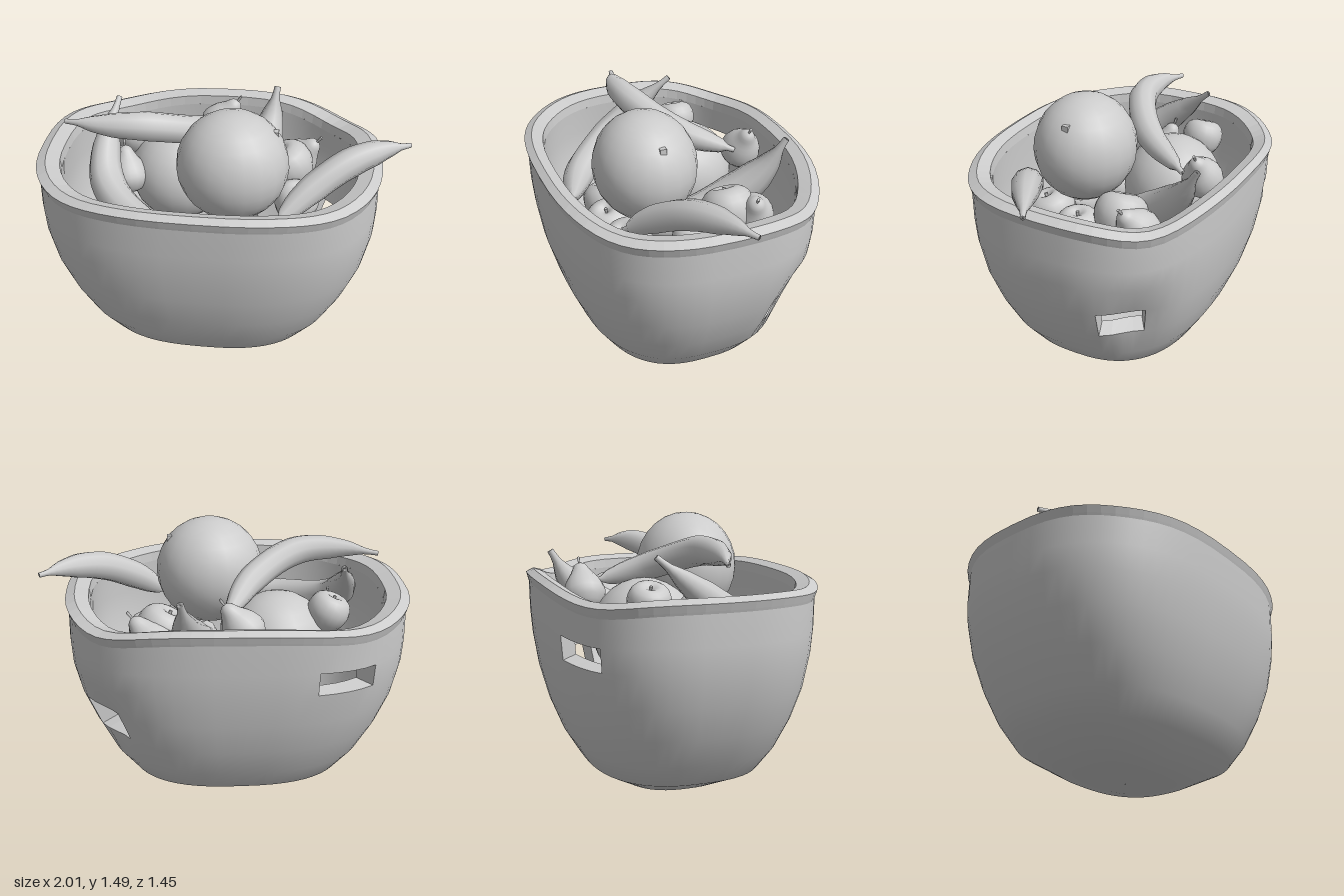
import * as THREE from 'three';

const material = new THREE.MeshStandardMaterial({ color: 0xcccccc });
const thin = new THREE.MeshStandardMaterial({ color: 0xcccccc, side: THREE.DoubleSide });
const N = 60; // columns around the bowl
const v = (p) => new THREE.Vector3(...p);
const bump = (x, centre, width) => Math.exp(-(((x - centre) / width) ** 2));

function add(parent, name, geometry, mat = material) {
  const mesh = new THREE.Mesh(geometry, mat);
  mesh.name = name;
  parent.add(mesh);
  return mesh;
}

// Point on the rounded-rectangle bowl: column j, size factor s, height y
function bowlPoint(j, s, y) {
  const deg = ((j % N) * 360) / N;
  const t = THREE.MathUtils.degToRad(deg);
  const power = (q) => Math.sign(q) * Math.abs(q) ** 0.77;
  const cx = power(Math.cos(t)), cz = -power(Math.sin(t));
  // dent beside the side opening
  const k = s * (1 - 0.085 * bump(deg, 36, 15) * bump(y, 0.53, 0.18));
  // wavy rim, dipping at the corners, most of all at the back
  const dip = 0.06 * bump(deg, 42, 22) + 0.05 * bump(deg, 128, 25)
    + 0.018 * (bump(deg, 225, 20) + bump(deg, 315, 20));
  const wave = (0.016 * cz * cz + 0.004 - dip) * Math.min(1, y / 1.1) ** 4;
  // the ends stand a little steeper than the front and back
  const steep = 1 + 0.02 * bump(y, 0.75, 0.25);
  return [-0.07 + 0.93 * k * cx * steep, y + wave, 0.725 * k * cz];
}

// Closed band of quads through rings of [s, y]; skip(row, column) leaves openings
function band(rings, skip = () => false) {
  const pos = [], idx = [];
  for (const [s, y] of rings) for (let j = 0; j < N; j++) pos.push(...bowlPoint(j, s, y));
  for (let i = 0; i < rings.length - 1; i++) {
    for (let j = 0; j < N; j++) {
      if (skip(i, j)) continue;
      const a = i * N + j, b = i * N + ((j + 1) % N);
      idx.push(a, b, b + N, a, b + N, a + N);
    }
  }
  const g = new THREE.BufferGeometry();
  g.setAttribute('position', new THREE.Float32BufferAttribute(pos, 3));
  g.setIndex(idx);
  g.computeVertexNormals();
  return g;
}

function flat(g) {
  const f = g.toNonIndexed();
  f.computeVertexNormals();
  return f;
}

function buildBowl(root) {
  const bowl = new THREE.Group();
  bowl.name = 'bowl';
  root.add(bowl);
  const outer = [[0.001, 0], [0.25, 0.015], [0.41, 0.04], [0.655, 0.15], [0.765, 0.28],
    [0.86, 0.45], [0.927, 0.63], [0.965, 0.81], [0.98, 0.94], [0.985, 1.1]];
  // the wall thickens slightly towards the rim
  const inner = outer.map(([s, y]) => [s * (0.895 - 0.02 * (y / 1.1) ** 2), y + 0.06 * (1 - y / 1.1)]);
  // openings: wall row and column range
  const holes = [{ row: 5, from: 3, to: 7 }, { row: 7, from: 18, to: 22 }];
  const open = (i, j) => holes.some((h) => i === h.row && j >= h.from && j < h.to);

  add(bowl, 'outerWall', band(outer, open), thin);
  const last = outer.length - 2;
  add(bowl, 'innerWall', band([...inner].reverse(), (i, j) => open(last - i, j)), thin);
  add(bowl, 'rim', flat(band([[0.985, 1.1], [0.99, 1.113], [1.003, 1.15], [0.95, 1.172],
    [0.87, 1.152], [0.862, 1.1]])), thin);

  // sides of each opening, joining outer and inner wall
  for (const h of holes) {
    const loop = [];
    for (let j = h.from; j <= h.to; j++) loop.push([h.row, j]);
    for (let j = h.to; j >= h.from; j--) loop.push([h.row + 1, j]);
    const pos = [], idx = [];
    loop.forEach(([r, j], n) => {
      pos.push(...bowlPoint(j, ...outer[r]), ...bowlPoint(j, ...inner[r]));
      const a = n * 2, b = ((n + 1) % loop.length) * 2;
      idx.push(a, b, b + 1, a, b + 1, a + 1);
    });
    const g = new THREE.BufferGeometry();
    g.setAttribute('position', new THREE.Float32BufferAttribute(pos, 3));
    g.setIndex(idx);
    add(bowl, 'openingSides', flat(g), thin);
  }
}

// Tapered, bent tube; the first path point is the stalk
function banana(points, radius) {
  const curve = new THREE.CatmullRomCurve3(points.map(v));
  const steps = 30, sides = 10;
  const profile = [[0, 0.17], [0.06, 0.2], [0.14, 0.52], [0.26, 0.85], [0.42, 1],
    [0.7, 0.97], [0.84, 0.78], [0.93, 0.5], [0.965, 0.22], [1, 0.18]];
  const width = (u) => {
    const i = Math.max(1, profile.findIndex((p) => p[0] >= u));
    const [a, b] = [profile[i - 1], profile[i]];
    return THREE.MathUtils.mapLinear(u, a[0], b[0], a[1], b[1]);
  };
  const g = new THREE.TubeGeometry(curve, steps, radius, sides, false);
  const p = g.attributes.position, q = new THREE.Vector3();
  for (let i = 0; i <= steps; i++) {
    // the first and last two rings share a place, which closes the ends bluntly
    const at = THREE.MathUtils.clamp((i - 1) / (steps - 2), 0, 1);
    const w = i === 0 || i === steps ? 0 : width(at);
    const from = curve.getPointAt(i / steps), to = curve.getPointAt(at);
    for (let j = 0; j <= sides; j++) {
      const n = i * (sides + 1) + j;
      q.fromBufferAttribute(p, n).sub(from).multiplyScalar(w).add(to);
      p.setXYZ(n, q.x, q.y, q.z);
    }
  }
  return g;
}

// Turned fruit with a stem, its axis leaning along dir
function turnedFruit(root, name, profile, radius, centre, dir, stemBase) {
  const fruit = new THREE.Group();
  fruit.name = name;
  const pts = new THREE.SplineCurve(profile.map((p) => new THREE.Vector2(...p))).getPoints(18);
  pts.forEach((p) => { p.x = Math.max(0, p.x); });
  add(fruit, 'flesh', new THREE.LatheGeometry(pts, 18));
  add(fruit, 'stem', new THREE.CylinderGeometry(0.07, 0.05, 0.4, 6)).position.y = stemBase + 0.15;
  fruit.scale.setScalar(radius);
  fruit.position.set(...centre);
  fruit.quaternion.setFromUnitVectors(new THREE.Vector3(0, 1, 0), v(dir).normalize());
  root.add(fruit);
}

export function createModel() {
  const root = new THREE.Group();
  root.name = 'fruitBowl';
  buildBowl(root);

  // oranges
  const orange = add(root, 'topOrange', new THREE.SphereGeometry(0.3, 20, 14));
  orange.position.set(0.07, 1.19, 0.18);
  orange.scale.z = 0.94;
  const nub = add(root, 'orangeStem', new THREE.BoxGeometry(0.035, 0.035, 0.035));
  nub.position.set(0.29, 1.38, 0.165);
  add(root, 'lowerOrange', new THREE.SphereGeometry(0.28, 20, 14)).position.set(-0.28, 0.9, -0.19);

  // bananas
  const bananas = [
    [0.08, [[-0.86, 1.31, 0.04], [-0.65, 1.33, 0.09], [-0.4, 1.325, 0.07], [-0.15, 1.23, -0.1], [0.01, 1.13, -0.38]]],
    [0.095, [[-0.62, 1.33, -0.24], [-0.655, 1.18, -0.06], [-0.62, 1.02, 0.16], [-0.4, 0.94, 0.4], [-0.1, 0.95, 0.55]]],
    [0.08, [[1, 1.25, -0.03], [0.85, 1.26, 0.06], [0.68, 1.23, 0.16], [0.5, 1.13, 0.27], [0.32, 0.98, 0.39]]],
    [0.11, [[0.25, 1.28, -0.57], [0.22, 1.1, -0.46], [0.16, 0.92, -0.24], [0.12, 0.82, 0], [0.08, 0.82, 0.25]]],
  ];
  for (const [r, path] of bananas) add(root, 'banana', banana(path, r));

  // apples
  const appleProfile = [[0, -0.72], [0.3, -0.85], [0.75, -0.6], [1, 0.05], [0.85, 0.62], [0.45, 0.85], [0.15, 0.72], [0, 0.52]];
  const apples = [
    [0.145, [0.35, 0.98, -0.19], [-0.5, 1, 0.05]],
    [0.125, [0.41, 0.88, 0.03], [0.1, 1, 0]],
    [0.115, [-0.54, 1.09, -0.25], [-0.4, 1, 0]],
    [0.14, [-0.38, 0.72, 0.25], [-0.4, 1, 0.2]],
    [0.13, [-0.13, 0.74, 0.33], [0.2, 1, 0.2]],
    [0.14, [0.2, 0.8, 0.33], [0.1, 1, 0.3]],
  ];
  for (const [r, c, d] of apples) turnedFruit(root, 'apple', appleProfile, r, c, d, 0.5);

  // pears
  const pearProfile = [[0, -0.95], [0.55, -0.85], [0.98, -0.25], [0.85, 0.4], [0.5, 0.95], [0.28, 1.35], [0, 1.5]];
  const pears = [
    [0.115, [-0.07, 1.09, -0.46], [0.14, 0.2, 0]],
    [0.125, [0.39, 0.95, -0.31], [0.11, 0.14, 0.03]],
    [0.11, [-0.54, 0.97, -0.01], [-0.03, 0.2, -0.06]],
  ];
  for (const [r, c, d] of pears) turnedFruit(root, 'pear', pearProfile, r, c, d, 1.45);

  return root;
}
